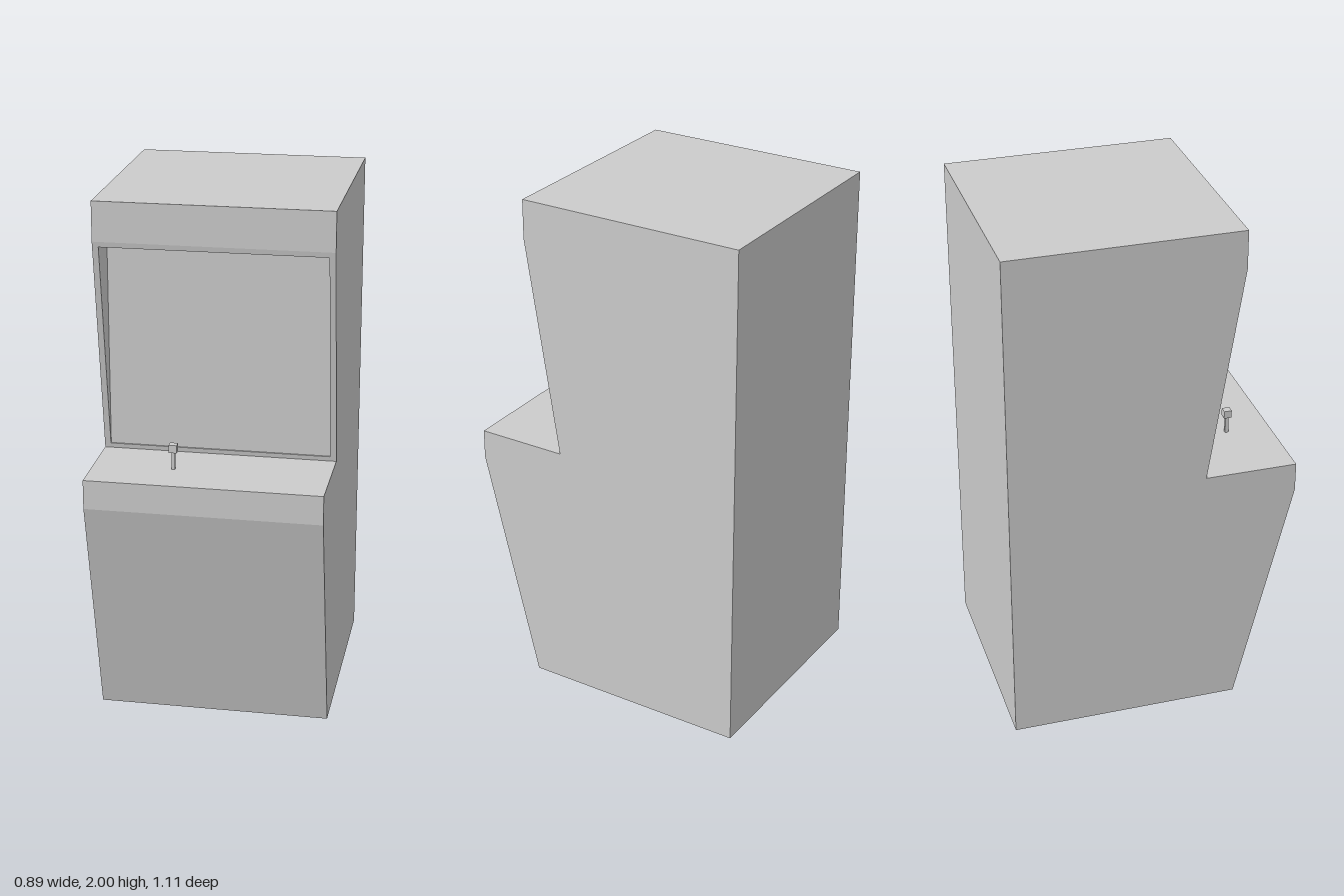
import * as THREE from 'three';

const W = 0.443; // half width of the cabinet

// Side profile as [z, y], from the front foot up and round to the back foot
const PROFILE = [
  [0.333, 0], [0.555, 0.9], [0.555, 1.012], [0.2, 1.012],
  [0.333, 1.85], [0.333, 2], [-0.555, 2], [-0.555, 0],
];
const BEZEL_EDGE = 3; // profile edge that holds the screen opening

// Flat-shaded faces from quads whose corners run anticlockwise seen from the front
function quads(list) {
  const pos = list.flatMap(([a, b, c, d]) => [a, b, c, a, c, d]).flat();
  const geo = new THREE.BufferGeometry();
  geo.setAttribute('position', new THREE.Float32BufferAttribute(pos, 3));
  geo.computeVertexNormals();
  return geo;
}

// Corners of an upright rectangle: half width, then bottom and top [z, y]
const rect = (w, [z0, y0], [z1, y1]) =>
  [[-w, y0, z0], [w, y0, z0], [w, y1, z1], [-w, y1, z1]];

// Band of quads between an outer and an inner rectangle
const band = (outer, inner) => outer.map((p, i) => {
  const j = (i + 1) % 4;
  return [p, outer[j], inner[j], inner[i]];
});

export function createModel() {
  const model = new THREE.Group();
  const material = new THREE.MeshStandardMaterial({ color: 0xcccccc, flatShading: true });
  const add = (name, geometry, parent = model) => {
    const mesh = new THREE.Mesh(geometry, material);
    mesh.name = name;
    parent.add(mesh);
    return mesh;
  };

  // Side panels, mirrored left and right
  for (const side of [1, -1]) {
    const shape = new THREE.Shape(PROFILE.map(([z, y]) => new THREE.Vector2(-side * z, y)));
    const panel = add(side > 0 ? 'leftSidePanel' : 'rightSidePanel', new THREE.ShapeGeometry(shape));
    panel.rotation.y = side * Math.PI / 2;
    panel.position.x = side * W;
  }

  // Front, deck, marquee, top, back and base, all but the screen face
  const shell = [];
  PROFILE.forEach((p, i) => {
    if (i !== BEZEL_EDGE) shell.push(rect(W, p, PROFILE[(i + 1) % PROFILE.length]));
  });
  add('cabinetShell', quads(shell));

  // Sloped bezel around the opening, and the wedge-shaped recess behind it
  const low = PROFILE[BEZEL_EDGE], high = PROFILE[BEZEL_EDGE + 1];
  const onSlope = (y) =>
    [low[0] + (high[0] - low[0]) * (y - low[1]) / (high[1] - low[1]), y];
  const outer = rect(W, low, high);
  const opening = rect(0.42, onSlope(1.03), onSlope(1.83));
  const screen = rect(0.42, [0.197, 1.03], [0.197, 1.83]);
  add('bezel', quads(band(outer, opening)));
  add('screenRecess', quads(band(opening, screen)));
  add('screen', quads([screen]));

  // Joystick on the deck
  const joystick = new THREE.Group();
  joystick.name = 'joystick';
  joystick.position.set(-0.14, low[1], 0.383);
  add('stick', new THREE.BoxGeometry(0.013, 0.07, 0.013), joystick).position.y = 0.035;
  add('knob', new THREE.BoxGeometry(0.03, 0.03, 0.03), joystick).position.y = 0.083;
  model.add(joystick);

  return model;
}
